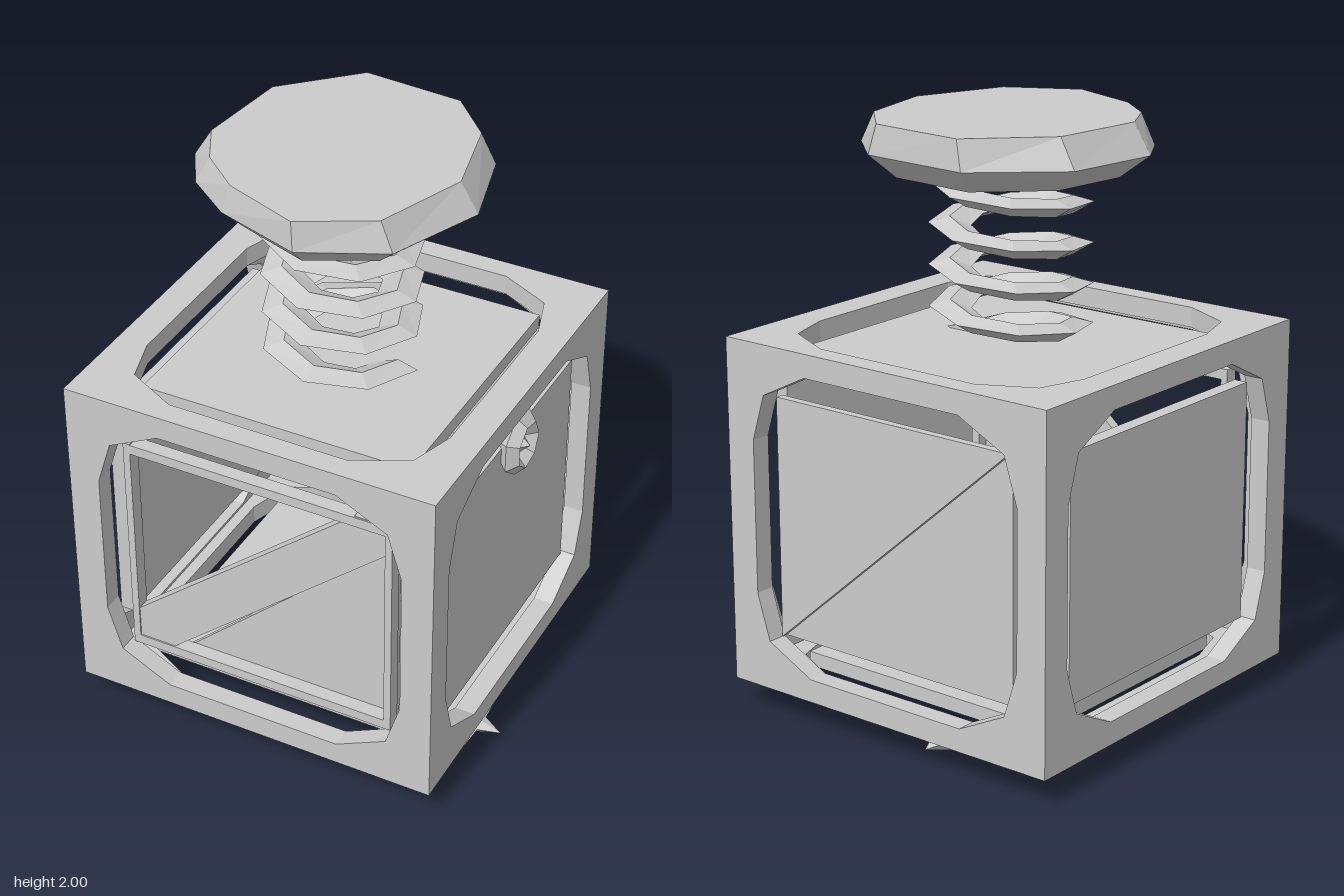
import * as THREE from 'three';

const grey = new THREE.MeshStandardMaterial({ color: 0xcccccc, side: THREE.DoubleSide });
grey.name = 'plain grey';

function add(parent, name, geometry, x = 0, y = 0, z = 0) {
  const mesh = new THREE.Mesh(geometry, grey);
  mesh.name = name;
  mesh.position.set(x, y, z);
  parent.add(mesh);
  return mesh;
}

function faceted(geometry) {
  const g = geometry.index ? geometry.toNonIndexed() : geometry;
  g.computeVertexNormals();
  return g;
}

const toShape = points => new THREE.Shape(points.map(p => new THREE.Vector2(...p)));

// Skin a list of equal-length closed rings of points
function loft(rings, capEnds) {
  const n = rings[0].length, index = [];
  for (let r = 0; r < rings.length - 1; r++) {
    for (let i = 0; i < n; i++) {
      const a = r * n + i, b = r * n + (i + 1) % n;
      index.push(a, a + n, b, b, a + n, b + n);
    }
  }
  if (capEnds) {
    const top = (rings.length - 1) * n;
    for (let i = 1; i < n - 1; i++) {
      index.push(0, i, i + 1);
      index.push(top, top + i + 1, top + i);
    }
  }
  const g = new THREE.BufferGeometry();
  g.setAttribute('position', new THREE.Float32BufferAttribute(rings.flat(2), 3));
  g.setIndex(index);
  return faceted(g);
}

// Rectangular frame plate with gusseted corners around its opening
function framePlate(a, b, depth) {
  const shape = toShape([[-a, -b], [a, -b], [a, b], [-a, b]]);
  const corner = [[a - 0.11, b - 0.33], [a - 0.16, b - 0.17], [a - 0.34, b - 0.08]];
  const hole = [];
  [[1, 1], [-1, 1], [-1, -1], [1, -1]].forEach(([sx, sy]) => {
    const pts = corner.map(([x, y]) => new THREE.Vector2(x * sx, y * sy));
    hole.push(...(sx * sy > 0 ? pts : pts.reverse()));
  });
  shape.holes.push(new THREE.Path(hole));
  return new THREE.ExtrudeGeometry(shape, { depth, bevelEnabled: false }).translate(0, 0, -depth);
}

export function createModel() {
  const model = new THREE.Group();
  model.name = 'springCrate';

  // Outer cage: one plate for each face
  const cage = new THREE.Group();
  cage.name = 'cage';
  cage.position.set(-0.025, 0.69, 0);
  model.add(cage);
  const hx = 0.655, hy = 0.595, hz = 0.66, t = 0.07;
  for (const s of [1, -1]) {
    add(cage, s > 0 ? 'frontFrame' : 'backFrame', framePlate(hx, hy, t), 0, 0, s * hz).rotation.y = s > 0 ? 0 : Math.PI;
    add(cage, s > 0 ? 'leftFrame' : 'rightFrame', framePlate(hz, hy, t), s * hx, 0, 0).rotation.y = s * Math.PI / 2;
    add(cage, s > 0 ? 'topFrame' : 'bottomFrame', framePlate(hx, hz, t), 0, s * hy, 0).rotation.x = -s * Math.PI / 2;
  }

  // Separate panels floating just inside each opening of the cage
  const x0 = -0.5, x1 = 0.46, y0 = 0.27, y1 = 1.1, d = 0.48, zFace = 0.61, thick = 0.05;
  const cx = (x0 + x1) / 2, cy = (y0 + y1) / 2, w = x1 - x0, h = y1 - y0;
  add(model, 'leftPanel', new THREE.BoxGeometry(thick, h, 2 * d), 0.56, cy, 0);
  add(model, 'rightPanel', new THREE.BoxGeometry(thick, h, 2 * d), -0.61, cy, 0);
  add(model, 'topPanel', new THREE.BoxGeometry(w, thick, 2 * d), cx, 1.215, 0);
  add(model, 'bottomPanel', new THREE.BoxGeometry(w, thick, 2 * d), cx, 0.15, 0);

  // Back panel: two halves meeting along a shallow diagonal crease
  const backHalf = (name, points, z) => add(model, name,
    new THREE.ExtrudeGeometry(toShape(points), { depth: 0.03, bevelEnabled: false }), 0, 0, z);
  backHalf('backUpperPanel', [[x1, y0], [x1, y1], [x0, y1]], -zFace);
  backHalf('backLowerPanel', [[x0, y0], [x1, y0], [x0, y1]], -zFace + 0.02);

  // Front: rim, diagonal brace and a closed lower half; the upper half is open
  for (const y of [y0 + 0.015, y1 - 0.02]) {
    add(model, 'frontRim', new THREE.BoxGeometry(w, 0.035, thick), cx, y, zFace - thick / 2);
  }
  for (const x of [x0 + 0.01, x1 - 0.01]) {
    add(model, 'frontSideRim', new THREE.BoxGeometry(0.025, h, thick), x, cy, zFace - thick / 2);
  }
  const brace = toShape([[x0, y0], [-0.36, 0.29], [x1, 1], [x1, y1], [0.33, y1], [x0, 0.4]]);
  add(model, 'frontBrace', new THREE.ExtrudeGeometry(brace, { depth: 0.04, bevelEnabled: false }), 0, 0, zFace - 0.045);
  const lower = toShape([[-0.33, y0], [x1, y0], [x1, 1]]);
  add(model, 'frontLowerPanel', new THREE.ExtrudeGeometry(lower, { depth: 0.02, bevelEnabled: false }), 0, 0, zFace - 0.07);

  // Coarse coil spring with a flat diamond section
  const coil = [], turns = 4.4, steps = 35;
  for (let i = 0; i <= steps; i++) {
    const a = i / steps * turns * Math.PI * 2, y = 1.235 + 0.6 * i / steps;
    coil.push([[0.27, 0.01], [0.2, 0.03], [0.13, 0], [0.2, -0.03]]
      .map(([r, dy]) => [-0.025 + r * Math.cos(a), y + dy, r * Math.sin(a)]));
  }
  add(model, 'spring', loft(coil, true));

  // Faceted cushion on top of the spring
  const outline = [[0.45, 0.02], [0.32, 0.34], [0.05, 0.47], [-0.25, 0.37], [-0.41, 0.25],
    [-0.5, 0.1], [-0.46, -0.24], [-0.2, -0.47], [0.2, -0.44], [0.37, -0.28]];
  const ring = (sx, sz, y) => outline.map(([x, z]) => [-0.02 + (x + 0.02) * sx, y, z * sz]);
  add(model, 'cushion', loft([ring(0.78, 0.82, 1.82), ring(1, 1, 1.9), ring(0.87, 0.98, 2)], true));

  // Knob on the left panel: a coarse ring around a small point
  const knob = new THREE.Group();
  knob.name = 'knob';
  knob.position.set(0.61, 1.08, 0);
  knob.rotation.y = Math.PI / 2;
  model.add(knob);
  add(knob, 'knobRing', faceted(new THREE.TorusGeometry(0.08, 0.035, 4, 7)));
  add(knob, 'knobCentre', faceted(new THREE.OctahedronGeometry(0.04)));

  // Small crumpled feet beneath the crate
  [[0.57, 0.045, 0.23, 0.12], [-0.18, 0.05, -0.5, 0.13], [-0.17, 0.04, 0.25, 0.08]].forEach(([x, y, z, r], k) => {
    const star = [], n = 10;
    for (let i = 0; i < n; i++) {
      const a = i / n * Math.PI * 2 + k, q = r * (i % 2 ? 0.5 : 1);
      star.push([q * Math.cos(a), i % 2 ? 0.01 : -0.005, q * Math.sin(a)]);
    }
    const tip = v => star.map(() => [0, v, 0]);
    add(model, 'foot', loft([tip(-y), star, tip(0.04)], false), x, y, z);
  });

  return model;
}
